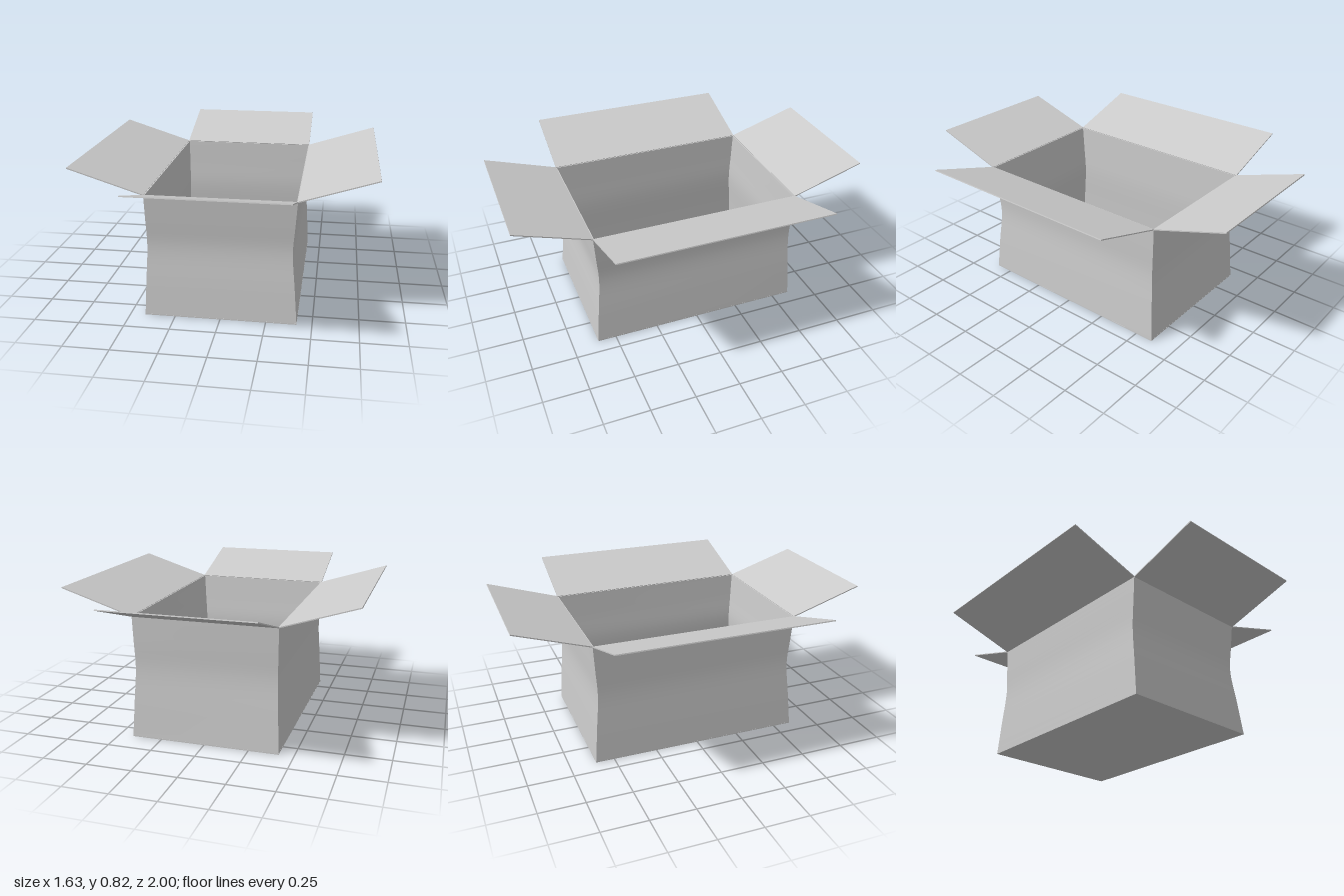
import * as THREE from 'three';

const T = 0.006;                 // board thickness
const TOP = 0.69;                // rim height
const FLAP_OUT = 0.41, FLAP_UP = 0.13;

// Corner posts in counter-clockwise order: signs, then half extents at the buckled middle
const CORNERS = [
  { sx: -1, sz: 1, mx: 0.4, mz: 0.568 },
  { sx: 1, sz: 1, mx: 0.385, mz: 0.568 },
  { sx: 1, sz: -1, mx: 0.396, mz: 0.582 },
  { sx: -1, sz: -1, mx: 0.4, mz: 0.573 },
].map((c) => ({
  ...c,
  curve: new THREE.CatmullRomCurve3([
    [0.417, 0, 0.605],
    [(0.417 + c.mx) / 2, 0.2, (0.605 + c.mz) / 2],
    [c.mx, 0.4, c.mz],
    [(0.405 + c.mx) / 2, 0.55, (0.59 + c.mz) / 2],
    [0.405, TOP, 0.59],
  ].map(([x, y, z]) => new THREE.Vector3(c.sx * x, y, c.sz * z))),
}));

// Point on a corner post, moved inward on both axes so the walls meet in a mitre
function cornerPoint(c, v, inset) {
  const p = c.curve.getPoint(v);
  p.x -= c.sx * inset;
  p.z -= c.sz * inset;
  return p;
}

// Thin board: a box whose vertices are placed by rule(u, v, w), w = 1 on the outside
function board(name, material, rows, rule) {
  const geo = new THREE.BoxGeometry(1, 1, 1, 1, rows, 1);
  const pos = geo.attributes.position;
  for (let i = 0; i < pos.count; i++) {
    const p = rule(pos.getX(i) + 0.5, pos.getY(i) + 0.5, pos.getZ(i) + 0.5);
    pos.setXYZ(i, p.x, p.y, p.z);
  }
  geo.computeVertexNormals();
  const mesh = new THREE.Mesh(geo, material);
  mesh.name = name;
  return mesh;
}

export function createModel() {
  const group = new THREE.Group();
  group.name = 'openBox';
  const mat = new THREE.MeshStandardMaterial({ color: 0xcccccc });

  ['front', 'left', 'back', 'right'].forEach((side, i) => {
    const a = CORNERS[i], b = CORNERS[(i + 1) % 4];
    const out = new THREE.Vector3(Math.sin(i * Math.PI / 2), 0, Math.cos(i * Math.PI / 2));

    // Bowed wall between two corner posts
    group.add(board(side + 'Wall', mat, 20, (u, v, w) => {
      const inset = (1 - w) * T;
      return cornerPoint(a, v, inset).lerp(cornerPoint(b, v, inset), u);
    }));

    // Flap folded outward from the rim
    const slope = out.clone().multiplyScalar(FLAP_OUT).setY(FLAP_UP);
    const normal = out.clone().multiplyScalar(FLAP_UP).setY(-FLAP_OUT).normalize();
    group.add(board(side + 'Flap', mat, 1, (u, v, w) =>
      cornerPoint(a, 1, 0).lerp(cornerPoint(b, 1, 0), u)
        .addScaledVector(slope, v)
        .addScaledVector(normal, (w - 0.5) * T)));
  });

  // Floor
  const floor = new THREE.Mesh(new THREE.BoxGeometry(0.834, T, 1.21), mat);
  floor.name = 'floor';
  floor.position.y = T / 2;
  group.add(floor);

  return group;
}
